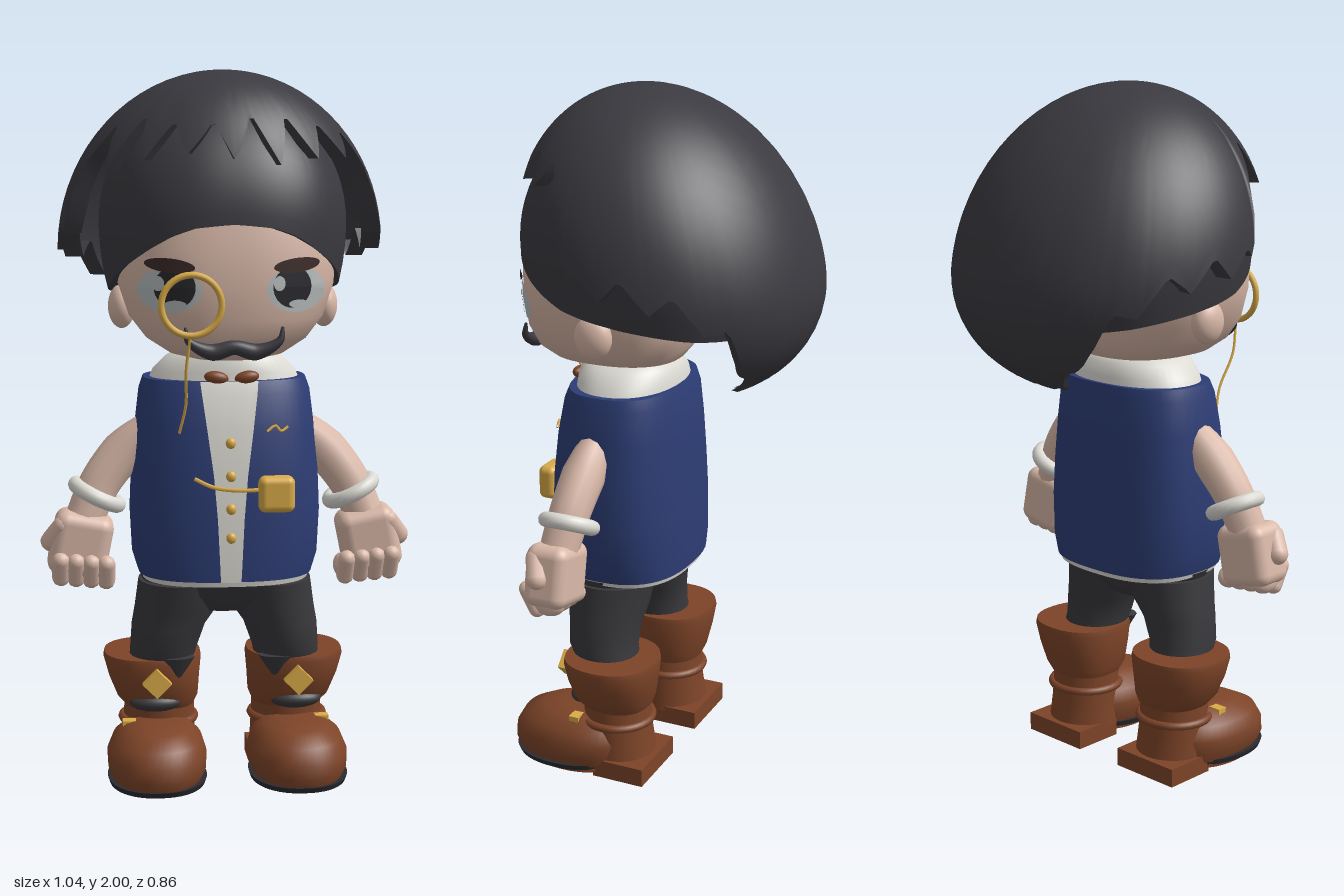
import * as THREE from 'three';
import { toCreasedNormals } from 'three/addons/utils/BufferGeometryUtils.js';
import { RoundedBoxGeometry } from 'three/addons/geometries/RoundedBoxGeometry.js';

const mat = (name, color, side = THREE.FrontSide) => {
  const m = new THREE.MeshStandardMaterial({ color, side });
  m.name = name;
  return m;
};
const V = (x, y, z) => new THREE.Vector3(x, y, z);

// Geometry from a grid of points, rows running upward, columns running round
function grid(rows, capped) {
  const n = rows[0].length, pos = rows.flat(2), idx = [];
  for (let i = 0; i < rows.length - 1; i++) for (let j = 0; j < n - 1; j++) {
    const a = i * n + j, b = a + 1, c = a + n, d = c + 1;
    idx.push(a, b, d, a, d, c);
  }
  if (capped) [0, rows.length - 1].forEach((r) => {
    const mid = [0, 1, 2].map((k) => (rows[r][0][k] + rows[r][(n - 1) / 2][k]) / 2);
    const c = pos.length / 3;
    pos.push(...mid);
    for (let j = 0; j < n - 1; j++) {
      const a = r * n + j;
      r ? idx.push(c, a, a + 1) : idx.push(c, a + 1, a);
    }
  });
  const g = new THREE.BufferGeometry();
  g.setAttribute('position', new THREE.Float32BufferAttribute(pos, 3));
  g.setIndex(idx);
  return toCreasedNormals(g, 0.8);
}

// Rounded cross-sections [y, centreX, centreZ, radiusX, radiusZ] from bottom to top
const spow = (v, p) => Math.sign(v) * Math.abs(v) ** p;
function loft(rings, e = 2, n = 48) {
  return grid(rings.map(([y, cx, cz, rx, rz]) => Array.from({ length: n + 1 }, (_, j) => {
    const a = (j / n) * Math.PI * 2;
    return [cx + rx * spow(Math.sin(a), 2 / e), y, cz + rz * spow(Math.cos(a), 2 / e)];
  })), true);
}

// Front surface of a loft at x, y
function frontZ(rings, e, x, y) {
  let i = 0;
  while (i < rings.length - 2 && rings[i + 1][0] < y) i++;
  const t = THREE.MathUtils.clamp((y - rings[i][0]) / (rings[i + 1][0] - rings[i][0]), 0, 1);
  const [, cx, cz, rx, rz] = rings[i].map((v, k) => v + (rings[i + 1][k] - v) * t);
  return cz + rz * Math.max(0, 1 - Math.min(1, Math.abs(x - cx) / rx) ** e) ** (1 / e);
}

// Tube whose radius follows a list
function taperTube(points, radii, seg = 24, sides = 12) {
  const curve = new THREE.CatmullRomCurve3(points.map((p) => V(...p)));
  const g = new THREE.TubeGeometry(curve, seg, 1, sides), p = g.attributes.position, v = V(0, 0, 0);
  for (let i = 0; i < p.count; i++) {
    const t = Math.floor(i / (sides + 1)) / seg, f = t * (radii.length - 1);
    const k = Math.min(Math.floor(f), radii.length - 2), c = curve.getPointAt(t);
    v.fromBufferAttribute(p, i).sub(c).multiplyScalar(radii[k] + (radii[k + 1] - radii[k]) * (f - k)).add(c);
    p.setXYZ(i, v.x, v.y, v.z);
  }
  return g;
}

// Hair dome hanging down to edge(degrees from the front), with a lip turned inward
function dome({ cy, cz, rx, up, down, rz, shear, lip, e }, edge, n = 180, m = 18) {
  const rows = [];
  for (let i = -1; i <= m; i++) {
    const row = [];
    for (let j = 0; j <= n; j++) {
      const a = (j / n) * Math.PI * 2 - Math.PI, h = edge(a * 180 / Math.PI) - cy;
      const end = Math.acos(THREE.MathUtils.clamp(h / (h > 0 ? up : down), -1, 1));
      const phi = end * (1 - Math.max(i, 0) / m), c = Math.cos(phi);
      const r = Math.sin(phi) * (i < 0 ? lip : 1), dy = c * (c > 0 ? up : down);
      row.push([rx * r * spow(Math.sin(a), 2 / e), cy + dy, cz + rz * r * spow(Math.cos(a), 2 / e) + shear * dy]);
    }
    rows.push(row);
  }
  return grid(rows, false);
}
const table = (pts, x) => {
  let i = 0;
  while (i < pts.length - 2 && pts[i + 1][0] < x) i++;
  const [[x0, y0], [x1, y1]] = [pts[i], pts[i + 1]];
  return y0 + (y1 - y0) * THREE.MathUtils.clamp((x - x0) / (x1 - x0), 0, 1);
};

export function createModel() {
  const model = new THREE.Group();
  const hair = mat('hair', 0x3b3a40, THREE.DoubleSide), skin = mat('skin', 0xdab9a9);
  const blue = mat('blue vest', 0x2d3d75), white = mat('white cloth', 0xdcdad3, THREE.DoubleSide);
  const brown = mat('brown leather', 0x7d4428), gold = mat('gold', 0xdaac48);
  const dark = mat('dark trousers', 0x39383c), eyeGrey = mat('eye grey', 0xbcc1c2);
  const black = mat('eye black', 0x2b2b30), browBrown = mat('brow', 0x3d2c2a);
  const add = (name, geo, m, pos = [0, 0, 0], scale = [1, 1, 1], rot = [0, 0, 0], parent = model) => {
    const o = new THREE.Mesh(geo, m);
    o.name = name;
    o.position.set(...pos); o.scale.set(...scale); o.rotation.set(...rot);
    parent.add(o);
    return o;
  };
  const ball = new THREE.SphereGeometry(1, 24, 16);

  // Head
  const face = [[1.215, 0, 0.17, 0.1, 0.13], [1.23, 0, 0.165, 0.16, 0.19], [1.27, 0, 0.165, 0.222, 0.222],
    [1.33, 0, 0.165, 0.268, 0.24], [1.42, 0, 0.16, 0.298, 0.25], [1.52, 0, 0.15, 0.305, 0.26], [1.64, 0, 0.13, 0.28, 0.25]];
  add('head', loft(face, 2.4, 96), skin);
  // Painted face patches that follow the face
  const patch = (name, m, x, y, rx, ry, lift, tilt = 0) => {
    const g = new THREE.RingGeometry(0.001, 1, 32, 8);
    g.scale(rx, ry, 1).rotateZ(tilt).translate(x, y, 0);
    const p = g.attributes.position;
    for (let i = 0; i < p.count; i++) p.setZ(i, frontZ(face, 2.4, p.getX(i), p.getY(i)) + lift);
    g.computeVertexNormals();
    add(name, g, m);
  };
  for (const s of [-1, 1]) {
    patch('eyeWhite', eyeGrey, s * 0.17, 1.412, 0.084, 0.06, 0.004);
    patch('iris', black, s * 0.157, 1.42, 0.054, 0.055, 0.007);
    patch('eyeHighlight', eyeGrey, s * 0.16 - 0.04, 1.43, 0.016, 0.02, 0.0095);
    patch('eyeGlow', eyeGrey, s * 0.165 + 0.01, 1.375, 0.028, 0.011, 0.0095);
    patch('eyebrow', browBrown, s * 0.17, 1.478, 0.066, 0.019, 0.0095, s * 0.1);
    add('ear', ball, skin, [s * 0.285, 1.35, 0.105], [0.038, 0.062, 0.055]);
  }
  add('moustache', taperTube([[-0.13, 1.315, 0.4], [-0.122, 1.28, 0.407], [-0.06, 1.25, 0.408], [0, 1.262, 0.41],
    [0.06, 1.25, 0.408], [0.122, 1.28, 0.407], [0.13, 1.315, 0.4]], [0.004, 0.014, 0.023, 0.019, 0.023, 0.014, 0.004], 40), hair);

  // Hair: close cap under a ragged outer mop
  add('hairCap', dome({ cy: 1.58, cz: 0.06, rx: 0.345, up: 0.37, down: 0.5, rz: 0.355, shear: 0, lip: 0.88, e: 2.4 },
    (a) => table([[0, 1.585], [14, 1.575], [25, 1.553], [43, 1.5], [72, 1.425], [95, 1.39], [130, 1.36], [180, 1.33]],
      Math.abs(a))), hair);
  const ragged = (a) => {
    const d = Math.abs(a), saw = Math.abs(((d / 18 + 0.5) % 1) * 2 - 1) - 0.5;
    const size = d > 140 ? 0.03 : d > 77 ? 0.075 : 0.11 + 0.03 * Math.sin(a * 0.09);
    return saw * size + table([[0, 1.81], [45, 1.81], [60, 1.79], [72, 1.79], [77, 1.54], [90, 1.54], [110, 1.51],
      [125, 1.46], [135, 1.39], [147, 1.26], [160, 1.19], [180, 1.18]], d);
  };
  add('hairMop', dome({ cy: 1.5, cz: 0, rx: 0.46, up: 0.5, down: 0.36, rz: 0.425, shear: 0.17, lip: 0.88, e: 2 }, ragged), hair);

  // Monocle and its chain
  add('monocle', new THREE.TorusGeometry(0.08, 0.009, 10, 40), gold, [-0.115, 1.375, 0.421]);
  add('monocleChain', taperTube([[-0.118, 1.295, 0.421], [-0.128, 1.2, 0.4], [-0.125, 1.1, 0.345], [-0.14, 1.02, 0.312]],
    [0.004, 0.004], 24, 6), gold);

  // Torso
  const vest = [[0.605, 0, 0.13, 0.245, 0.198], [0.66, 0, 0.13, 0.262, 0.2], [0.78, 0, 0.13, 0.268, 0.198],
    [0.9, 0, 0.13, 0.263, 0.192], [1.02, 0, 0.127, 0.252, 0.182], [1.12, 0, 0.122, 0.24, 0.167], [1.155, 0, 0.12, 0.228, 0.155]];
  const vestZ = (x, y) => frontZ(vest, 2.6, x, y);
  add('vest', loft(vest, 2.6), blue);
  add('shirtHem', loft([[0.59, 0, 0.13, 0.235, 0.19], [0.605, 0, 0.13, 0.24, 0.193]], 2.6), white);
  add('collar', loft([[1.14, 0, 0.12, 0.215, 0.147], [1.175, 0, 0.12, 0.2, 0.143], [1.21, 0, 0.125, 0.165, 0.135],
    [1.23, 0, 0.13, 0.13, 0.12]], 2.2), white);
  add('shirtFront', grid(vest.map(([y]) => Array.from({ length: 9 }, (_, j) => {
    const x = (j / 4 - 1) * table([[0.6, 0.028], [0.85, 0.04], [1.15, 0.08]], y);
    return [x, y, vestZ(x, y) + 0.004];
  })), false), white);
  for (const s of [-1, 1]) add('bowTie', ball, brown, [0.007 + s * 0.042, 1.165, 0.27], [0.034, 0.018, 0.018], [0, 0, s * 0.15]);
  for (const y of [0.99, 0.9, 0.81, 0.73]) add('button', ball, gold, [0, y, vestZ(0, y) + 0.004], [0.014, 0.015, 0.011]);
  add('pocketWatch', new RoundedBoxGeometry(0.1, 0.1, 0.055, 4, 0.02), gold, [0.125, 0.85, 0.325]);
  const onVest = (pts) => pts.map(([x, y]) => [x, y, vestZ(x, y) + 0.007]);
  add('watchChain', taperTube(onVest([[-0.1, 0.895], [-0.05, 0.872], [0.02, 0.862], [0.09, 0.862]]), [0.006, 0.006], 20, 6), gold);
  add('vestPin', taperTube(onVest([[0.1, 1.02], [0.125, 1.035], [0.14, 1.02], [0.16, 1.03]]), [0.004, 0.004], 12, 6), gold);

  // Trousers seat
  add('trouserSeat', loft([[0.5, 0, 0.14, 0.1, 0.09], [0.55, 0, 0.14, 0.22, 0.125], [0.6, 0, 0.14, 0.242, 0.145]], 2.2), dark);

  // Arms, legs and boots, mirrored by side
  for (const s of [-1, 1]) {
    const arm = new THREE.Group();
    arm.name = s > 0 ? 'leftArm' : 'rightArm';
    model.add(arm);
    const at = (name, geo, m, p, sc, r) => add(name, geo, m, [s * p[0], p[1], p[2]], sc, r, arm);
    at('forearm', taperTube([[s * 0.2, 1.02, 0.14], [s * 0.27, 0.96, 0.14], [s * 0.35, 0.86, 0.15], [s * 0.4, 0.75, 0.165]],
      [0.045, 0.062, 0.058, 0.055]), skin, [0, 0, 0]);
    const band = at('bracelet', new THREE.TorusGeometry(0.066, 0.022, 12, 32), white, [0.36, 0.825, 0.15]);
    band.lookAt(s * (0.36 + 0.45), 0.825 - 0.9, 0.15);
    at('palm', new RoundedBoxGeometry(0.165, 0.18, 0.13, 4, 0.035), skin, [0.408, 0.69, 0.17], [1, 1, 1], [0, 0, s * 0.2]);
    for (let k = 0; k < 4; k++) {
      const x = 0.338 + k * 0.042, y = 0.605 + k * 0.004;
      at('finger', new THREE.CapsuleGeometry(0.025, 0.06, 5, 10), skin, [x, y + 0.01, 0.215], [1, 1, 1], [0.5, 0, 0]);
      at('knuckle', ball, skin, [x, y + 0.005, 0.165], [0.028, 0.036, 0.05]);
    }
    at('thumb', new THREE.CapsuleGeometry(0.03, 0.06, 5, 10), skin, [0.473, 0.725, 0.195], [1, 1, 1], [0.4, 0, s * 0.6]);

    const leg = new THREE.Group();
    leg.name = s > 0 ? 'leftLeg' : 'rightLeg';
    model.add(leg);
    const side = (rings) => rings.map(([y, x, ...r]) => [y, s * x, ...r]);
    const put = (name, geo, m, p = [0, 0, 0], sc, r) => add(name, geo, m, [s * p[0], p[1], p[2]], sc, r, leg);
    put('trouserLeg', loft(side([[0.24, 0.19, 0.1, 0.085, 0.085], [0.34, 0.18, 0.125, 0.092, 0.095], [0.38, 0.175, 0.14, 0.095, 0.103],
      [0.45, 0.16, 0.14, 0.105, 0.108], [0.5, 0.138, 0.14, 0.118, 0.12], [0.58, 0.125, 0.14, 0.12, 0.135]])), dark);
    put('bootCuff', loft(side([[0.205, 0.185, 0.09, 0.1, 0.1], [0.23, 0.19, 0.095, 0.116, 0.115], [0.29, 0.2, 0.098, 0.13, 0.13],
      [0.345, 0.205, 0.098, 0.14, 0.138], [0.36, 0.205, 0.098, 0.137, 0.135]]), 2.3), brown);
    put('bootAnkle', loft(side([[0.04, 0.185, 0.085, 0.108, 0.11], [0.12, 0.185, 0.088, 0.103, 0.1], [0.23, 0.185, 0.095, 0.1, 0.1]])), brown);
    put('bootFoot', loft(side([[0.03, 0.2, 0.22, 0.125, 0.18], [0.06, 0.2, 0.225, 0.138, 0.187], [0.1, 0.2, 0.22, 0.14, 0.188],
      [0.14, 0.198, 0.215, 0.125, 0.17], [0.17, 0.195, 0.2, 0.09, 0.125], [0.18, 0.195, 0.195, 0.05, 0.075]]), 2.2), brown);
    put('bootSole', loft(side([[0.02, 0.2, 0.235, 0.135, 0.165], [0.036, 0.2, 0.237, 0.14, 0.17]]), 2.2), black);
    put('soleTread', loft(side([[0.012, 0.2, 0.21, 0.125, 0.15], [0.022, 0.2, 0.21, 0.125, 0.15]]), 2.2), brown);
    put('bootHeel', new THREE.BoxGeometry(0.22, 0.055, 0.16), brown, [0.19, 0.0275, 0.04]);
    put('bootStrap', new THREE.TorusGeometry(0.104, 0.012, 8, 32), brown, [0.187, 0.16, 0.092], [1, 1, 1], [Math.PI / 2, 0, 0]);
    put('strapStud', new THREE.BoxGeometry(0.04, 0.024, 0.03), gold, [0.275, 0.165, 0.185]);
    put('trouserTuck', ball, dark, [0.2, 0.228, 0.18], [0.075, 0.028, 0.045]);
    put('trouserPeak', new THREE.ConeGeometry(0.055, 0.085, 12), dark, [0.145, 0.323, 0.21], [1, 1, 0.6], [Math.PI, 0, 0]);
    put('buckle', new THREE.BoxGeometry(0.058, 0.058, 0.025), gold, [0.2, 0.3, 0.25], [1, 1, 1], [0, 0, Math.PI / 4]);
    put('bucklePin', new THREE.BoxGeometry(0.02, 0.02, 0.05), gold, [0.2, 0.3, 0.23]);
  }
  return model;
}
